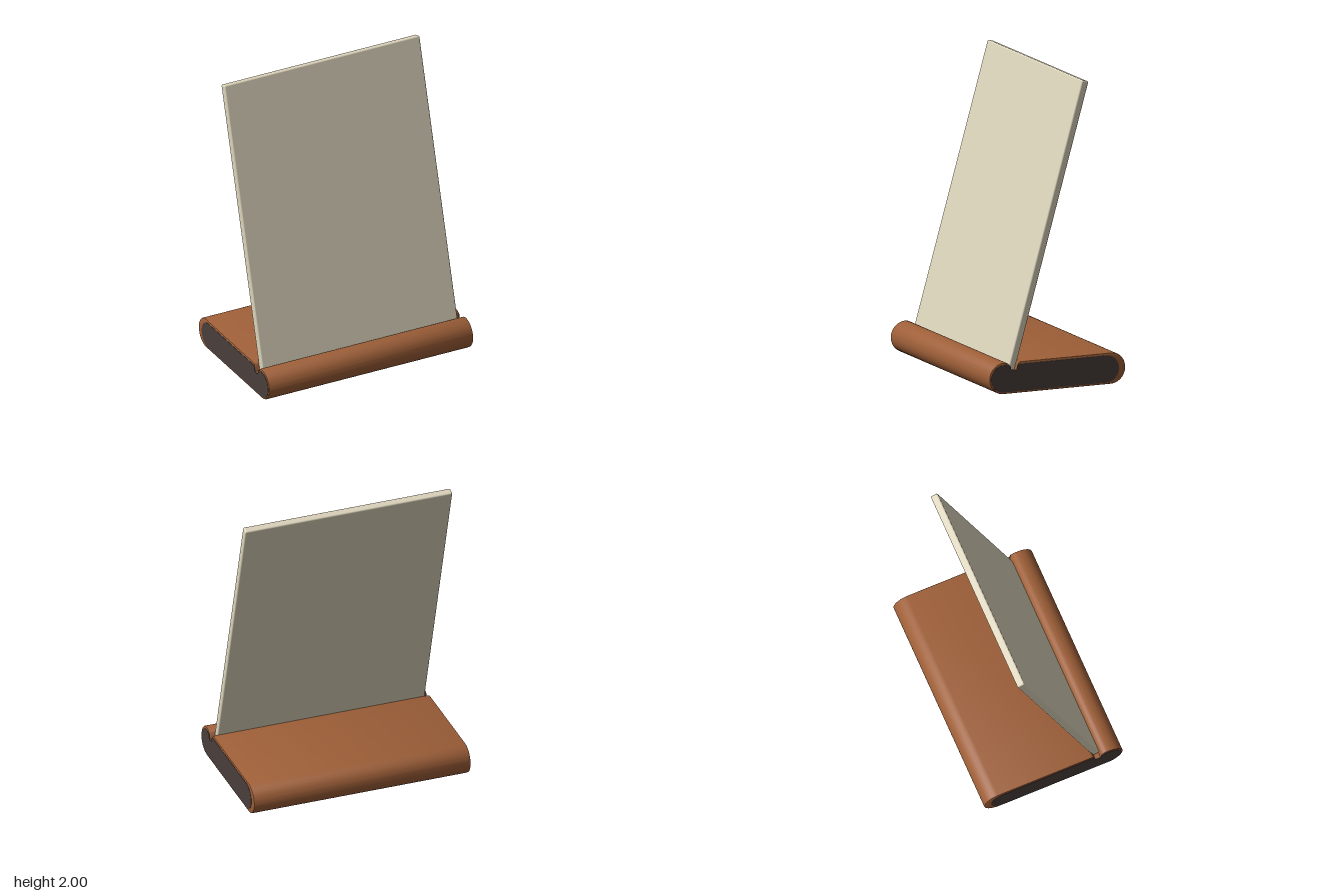
import * as THREE from 'three';
import { toCreasedNormals } from 'three/addons/utils/BufferGeometryUtils.js';
import { RoundedBoxGeometry } from 'three/addons/geometries/RoundedBoxGeometry.js';

const material = (name, color) => new THREE.MeshStandardMaterial({ name, color });

// Pill-shaped side profile (z across, y up) with a slot cut in its top
function profile(front, back, bottom, top) {
  const r = (top - bottom) / 2, mid = bottom + r;
  const s = new THREE.Shape();
  s.moveTo(back + r, bottom);
  s.lineTo(front - r, bottom);
  s.absarc(front - r, mid, r, -Math.PI / 2, Math.PI / 2, false);
  s.quadraticCurveTo(0.35, top, 0.335, 0.18);
  s.lineTo(0.328, 0.15);
  s.lineTo(0.292, 0.15);
  s.lineTo(0.285, 0.178);
  s.quadraticCurveTo(0.28, top, 0.262, top);
  s.lineTo(back + r, top);
  s.absarc(back + r, mid, r, Math.PI / 2, Math.PI * 1.5, false);
  return s;
}

// Extrude a profile along x, centred on x = 0
function extrudeAcross(shape, width, bevel) {
  const g = new THREE.ExtrudeGeometry(shape, {
    depth: width - 2 * bevel, curveSegments: 20, bevelEnabled: bevel > 0,
    bevelThickness: bevel, bevelSize: bevel, bevelOffset: -bevel, bevelSegments: 2,
  });
  g.translate(0, 0, bevel - width / 2);
  g.rotateY(-Math.PI / 2);
  return toCreasedNormals(g, 0.6);
}

export function createModel() {
  const wood = material('brown wood', 0x9e5f38);
  const endGrain = material('dark end grain', 0x4a3f3b);
  const cream = material('cream panel', 0xdcd4bb);
  const model = new THREE.Group();
  model.name = 'panelStand';

  const add = (name, geometry, mat) => {
    const mesh = new THREE.Mesh(geometry, mat);
    mesh.name = name;
    model.add(mesh);
    return mesh;
  };

  // Slotted base
  add('base', extrudeAcross(profile(0.483, -0.483, 0, 0.205), 1.486, 0.008), wood);

  // Thin dark plates on both ends
  for (const side of [1, -1]) {
    const plate = add(side > 0 ? 'leftEndPlate' : 'rightEndPlate',
      extrudeAcross(profile(0.472, -0.435, 0.012, 0.19), 0.005, 0), endGrain);
    plate.position.x = side * 0.7425;
  }

  // Leaning panel standing in the slot
  const tilt = 0.2775, length = 1.92;
  const panel = add('panel', new RoundedBoxGeometry(1.42, length, 0.05, 3, 0.01), cream);
  panel.rotation.x = -tilt;
  panel.position.set(0, 0.148 + Math.cos(tilt) * length / 2, 0.312 - Math.sin(tilt) * length / 2);

  return model;
}
